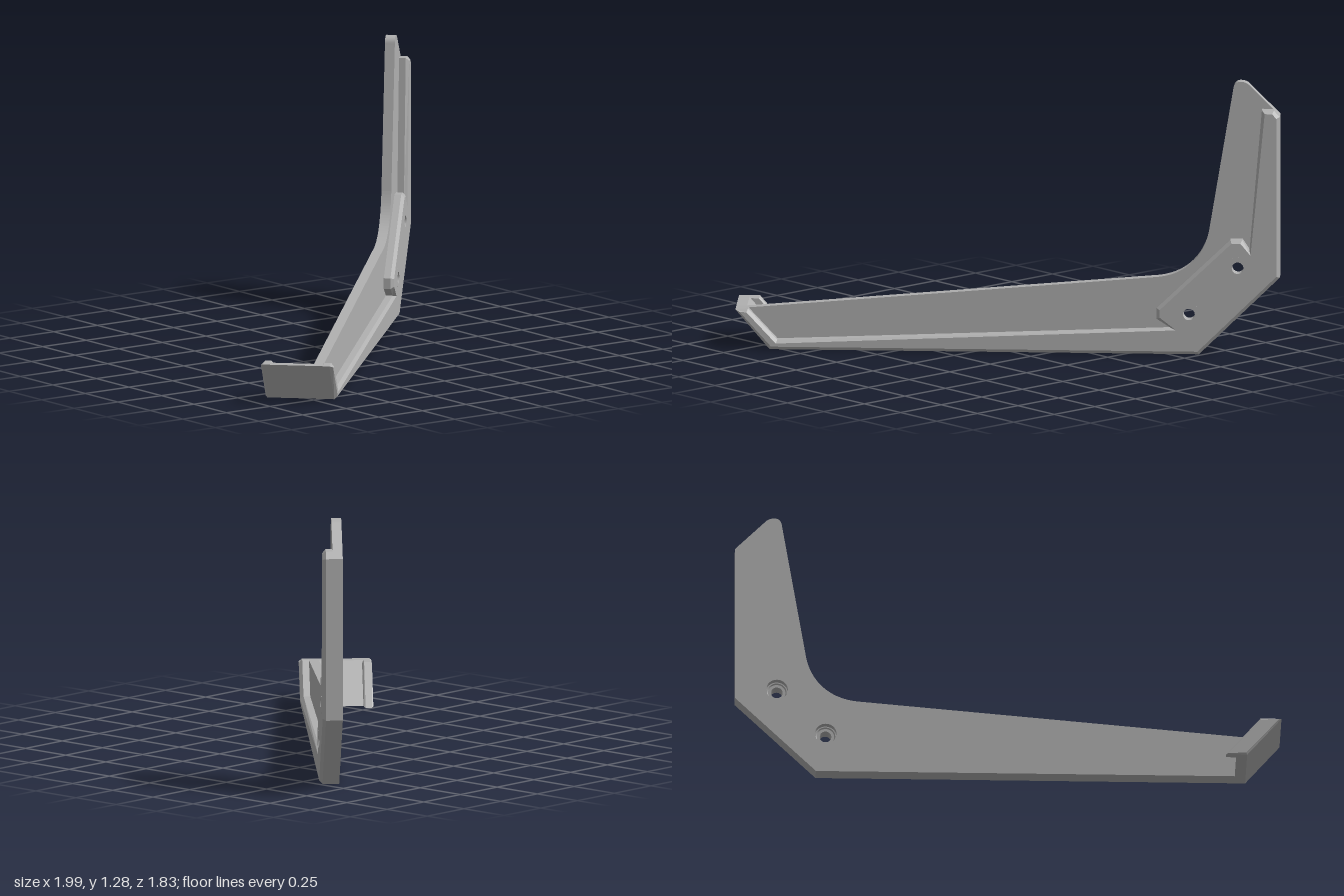
import * as THREE from 'three';

const material = new THREE.MeshStandardMaterial({ color: 0xb0b0b0 });
material.name = 'plain grey';

// Screw hole centres (along the arm, height)
const HOLES = [[0.9, 0.19], [1.124, 0.41]];

function polygon(points) {
  return new THREE.Shape(points.map(([x, y]) => new THREE.Vector2(x, y)));
}

function drill(shape, centres, radius) {
  for (const [x, y] of centres) {
    shape.holes.push(new THREE.Path().absarc(x, y, radius, 0, Math.PI * 2, true));
  }
}

// Extrudes a side profile between two depths; the chamfer stays inside the outline
function slab(name, shape, z0, z1, chamfer = 0) {
  const geometry = new THREE.ExtrudeGeometry(shape, {
    depth: z1 - z0 - 2 * chamfer,
    bevelEnabled: chamfer > 0,
    bevelThickness: chamfer,
    bevelSize: chamfer,
    bevelOffset: -chamfer,
    bevelSegments: 1,
    curveSegments: 24,
  });
  geometry.translate(0, 0, z0 + chamfer);
  const mesh = new THREE.Mesh(geometry, material);
  mesh.name = name;
  return mesh;
}

export function createModel() {
  const bracket = new THREE.Group();
  bracket.name = 'bracket';

  // Thin web: long tapering arm, curved inner corner and upright
  const web = new THREE.Shape();
  web.moveTo(-1.188, 0.185);
  web.lineTo(-1.03, 0);
  web.lineTo(0.945, 0);
  web.lineTo(1.317, 0.365);
  web.lineTo(1.317, 1.12);
  web.lineTo(1.175, 1.262);
  web.quadraticCurveTo(1.16, 1.277, 1.135, 1.277);
  web.quadraticCurveTo(1.105, 1.277, 1.101, 1.24);
  web.lineTo(0.99, 0.575);
  web.bezierCurveTo(0.968, 0.46, 0.89, 0.37, 0.755, 0.355);
  web.lineTo(-1.135, 0.188);
  drill(web, HOLES, 0.05);
  bracket.add(slab('web', web, 0.014, 0.06));

  // Raised rim joined to the screw pad in the corner
  const rim = polygon([
    [-1.188, 0.185], [-1.03, 0], [0.945, 0], [1.317, 0.365], [1.317, 1.12],
    [1.29, 1.15], [1.235, 1.152], [1.178, 0.49], [1.145, 0.54], [1.09, 0.54],
    [0.75, 0.215], [0.75, 0.165], [0.82, 0.12], [-0.995, 0.045], [-1.13, 0.19],
  ]);
  drill(rim, HOLES, 0.03);
  bracket.add(slab('rimAndPad', rim, 0.045, 0.106, 0.015));

  // Straight hole linings, forming the counterbore floor at the back
  for (const centre of HOLES) {
    const ring = new THREE.Shape().absarc(centre[0], centre[1], 0.05, 0, Math.PI * 2, false);
    drill(ring, [centre], 0.027);
    bracket.add(slab('holeLining', ring, 0.05, 0.1062));
  }

  // Slanted hook at the end of the arm
  const hook = new THREE.Group();
  hook.name = 'hook';
  hook.add(slab('hookPlate', polygon([
    [-1.188, 0.185], [-1.03, 0], [-0.98, 0], [-1.138, 0.185],
  ]), -0.215, 0.05));
  hook.add(slab('hookLip', polygon([
    [-1.188, 0.185], [-1.03, 0], [-0.933, 0], [-1.091, 0.185],
  ]), -0.228, -0.184, 0.008));
  bracket.add(hook);

  // The arm runs diagonally
  bracket.rotation.y = Math.PI / 4;
  const model = new THREE.Group();
  model.name = 'shelfBracket';
  model.add(bracket);
  return model;
}
